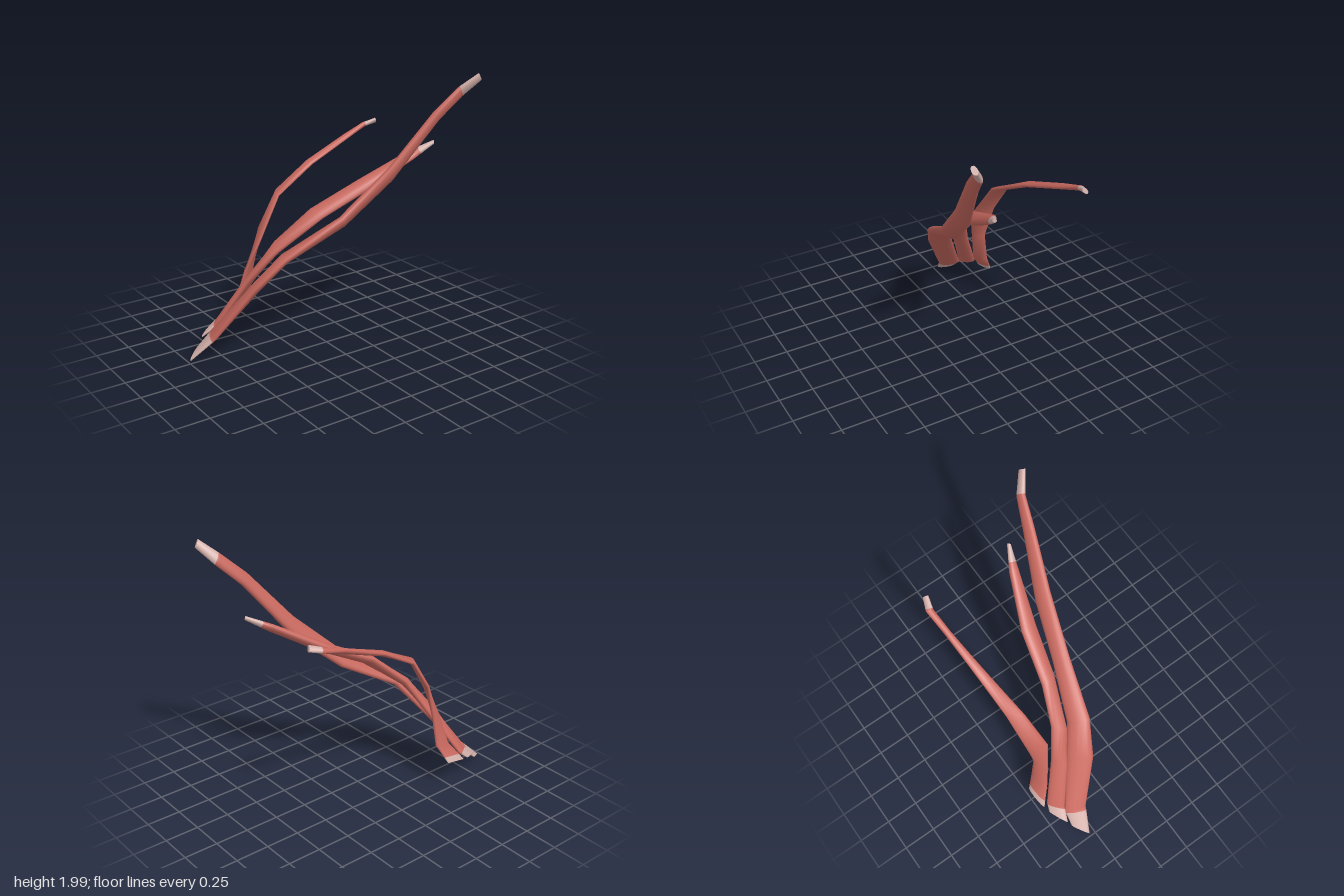
import * as THREE from 'three';

const muscle = new THREE.MeshStandardMaterial({ color: 0xc9695f });
muscle.name = 'muscle red';
const tendon = new THREE.MeshStandardMaterial({ color: 0xd2aea8 });
tendon.name = 'tendon pink';

const SIDES = 14;

// Each station: [front edge xyz, back edge xyz, half thickness]
const frontStrap = [
  [-0.98, 0.01, -0.29, -0.86, 0.07, -0.375, 0.012],
  [-0.81, 0.17, -0.21, -0.75, 0.17, -0.365, 0.025],
  [-0.61, 0.55, -0.01, -0.48, 0.54, -0.16, 0.034],
  [-0.41, 0.775, 0.095, -0.33, 0.745, -0.05, 0.036],
  [0.0, 1.03, 0.2, 0.06, 0.95, 0.1, 0.036],
  [0.36, 1.37, 0.29, 0.4, 1.24, 0.2, 0.036],
  [0.66, 1.735, 0.375, 0.72, 1.67, 0.33, 0.03],
  [0.83, 1.9, 0.42, 0.88, 1.83, 0.395, 0.024],
  [0.94, 2.0, 0.5, 0.975, 1.95, 0.485, 0.02],
];
const middleStrap = [
  [-0.83, 0.12, -0.39, -0.69, 0.17, -0.465, 0.012],
  [-0.73, 0.2, -0.35, -0.63, 0.22, -0.445, 0.024],
  [-0.55, 0.55, -0.2, -0.44, 0.57, -0.27, 0.03],
  [-0.37, 0.77, -0.08, -0.31, 0.82, -0.18, 0.032],
  [-0.05, 1.0, 0.03, -0.08, 1.04, -0.09, 0.032],
  [0.28, 1.17, 0.11, 0.28, 1.21, -0.01, 0.034],
  [0.62, 1.37, 0.205, 0.62, 1.41, 0.135, 0.026],
  [0.77, 1.47, 0.247, 0.78, 1.49, 0.23, 0.014],
];
const rearStrap = [
  [-0.64, 0.18, -0.475, -0.46, 0.22, -0.49, 0.016],
  [-0.55, 0.32, -0.385, -0.4, 0.36, -0.42, 0.024],
  [-0.49, 0.56, -0.335, -0.385, 0.6, -0.39, 0.022],
  [-0.4, 0.8, -0.27, -0.3, 0.87, -0.42, 0.02],
  [-0.2, 1.1, -0.325, -0.14, 1.11, -0.44, 0.018],
  [0.14, 1.27, -0.39, 0.14, 1.275, -0.465, 0.02],
  [0.5, 1.4, -0.445, 0.5, 1.42, -0.49, 0.02],
  [0.67, 1.48, -0.46, 0.69, 1.47, -0.51, 0.018],
  [0.76, 1.52, -0.44, 0.78, 1.485, -0.47, 0.015],
];

const mix = (a, b, t) => a.map((v, i) => v + (b[i] - v) * t);

// Lofts a flattened strap; its first and last spans are tendon
function strap(name, list, lowCut, highCut) {
  const n = list.length;
  const rows = [
    list[0], mix(list[0], list[1], lowCut),
    ...list.slice(1, n - 1),
    mix(list[n - 2], list[n - 1], highCut), list[n - 1],
  ];
  const centers = rows.map(r =>
    new THREE.Vector3((r[0] + r[3]) / 2, (r[1] + r[4]) / 2, (r[2] + r[5]) / 2));
  const positions = [];
  const index = [];
  const last = rows.length - 1;

  // Elliptical cross-sections
  rows.forEach((r, i) => {
    const along = centers[Math.min(i + 1, last)].clone().sub(centers[Math.max(i - 1, 0)]);
    const wide = new THREE.Vector3(r[3] - r[0], r[4] - r[1], r[5] - r[2]).multiplyScalar(0.5);
    const thick = along.cross(wide).setLength(r[6]);
    for (let j = 0; j < SIDES; j++) {
      const a = (j / SIDES) * Math.PI * 2;
      const p = centers[i].clone()
        .addScaledVector(wide, Math.cos(a)).addScaledVector(thick, Math.sin(a));
      positions.push(p.x, p.y, p.z);
    }
  });

  // Skin between neighbouring sections
  for (let i = 0; i < last; i++) {
    for (let j = 0; j < SIDES; j++) {
      const k = (j + 1) % SIDES;
      const a = i * SIDES + j, b = i * SIDES + k;
      index.push(a, b, b + SIDES, a, b + SIDES, a + SIDES);
    }
  }

  // End caps with their own vertices for a crisp rim
  for (const row of [0, last]) {
    const base = positions.length / 3;
    positions.push(...positions.slice(row * SIDES * 3, (row + 1) * SIDES * 3));
    for (let j = 1; j < SIDES - 1; j++) {
      if (row === 0) index.push(base, base + j + 1, base + j);
      else index.push(base, base + j, base + j + 1);
    }
  }

  const geometry = new THREE.BufferGeometry();
  geometry.setAttribute('position', new THREE.Float32BufferAttribute(positions, 3));
  geometry.setIndex(index);
  geometry.computeVertexNormals();
  const span = SIDES * 6;
  geometry.addGroup(0, span, 1);
  geometry.addGroup(span, span * (last - 2), 0);
  geometry.addGroup(span * (last - 1), index.length - span * (last - 1), 1);
  const mesh = new THREE.Mesh(geometry, [muscle, tendon]);
  mesh.name = name;
  return mesh;
}

export function createModel() {
  const group = new THREE.Group();
  group.name = 'muscleStraps';
  group.add(
    strap('frontStrap', frontStrap, 0.85, 0.05),
    strap('middleStrap', middleStrap, 0.85, 0.35),
    strap('rearStrap', rearStrap, 0.3, 0.1),
  );
  return group;
}
